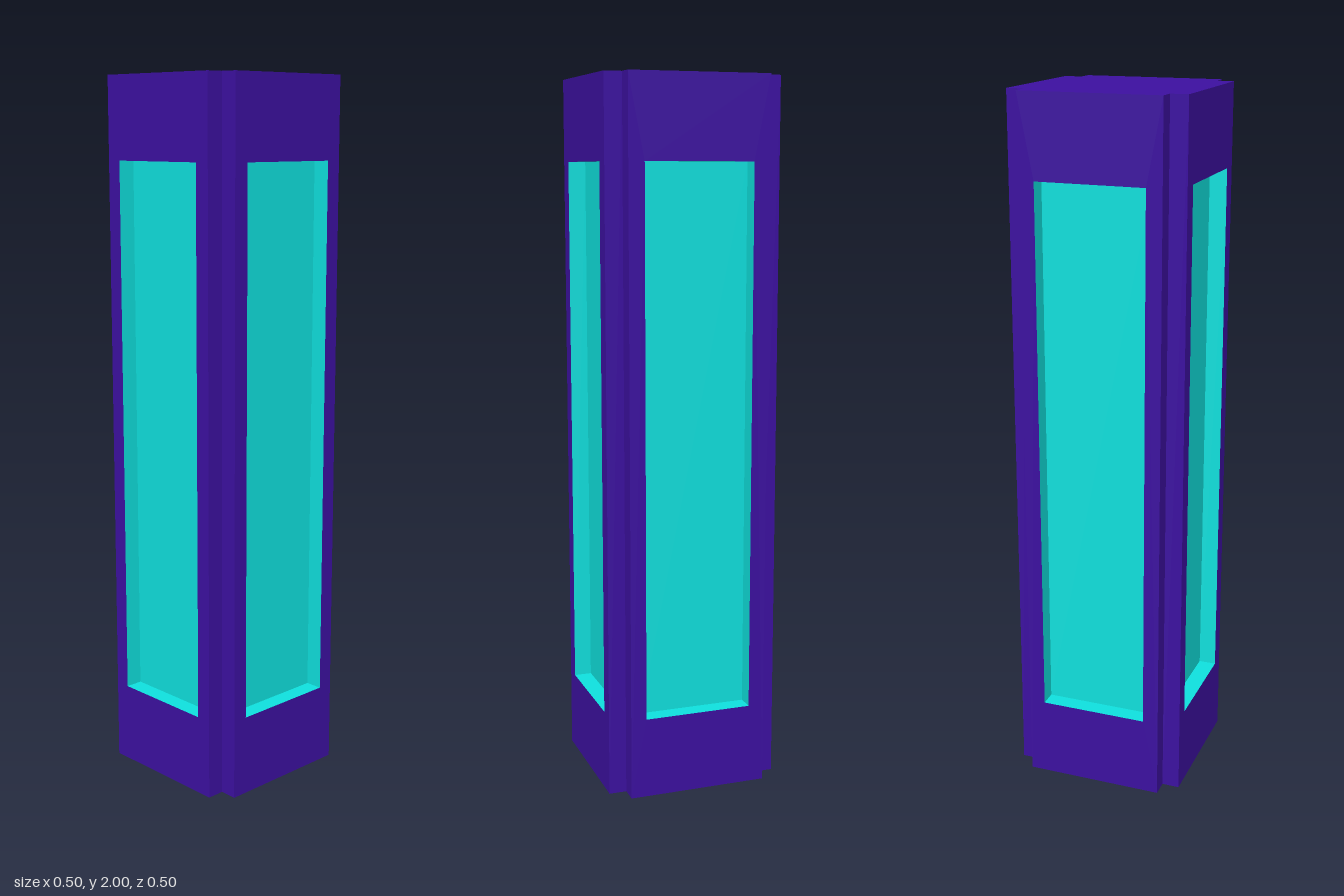
import * as THREE from 'three';
import { mergeGeometries } from 'three/addons/utils/BufferGeometryUtils.js';

const H = 2, OUT = 0.25, IN = 0.2;            // height, outer face, notch / recess floor
const W = 0.155, Y0 = 0.23, Y1 = 1.77;        // window half width, bottom and top
const DEPTH = OUT - IN, MID = (OUT + IN) / 2, YC = (Y0 + Y1) / 2;

// Flat rectangle, turned about x and y, then placed
function rect(w, h, rx, ry, x, y, z) {
  return new THREE.PlaneGeometry(w, h).rotateX(rx).rotateY(ry).translate(x, y, z);
}

export function createModel() {
  const model = new THREE.Group();
  const purple = new THREE.MeshStandardMaterial({ color: 0x3c10a0 });
  const cyan = new THREE.MeshStandardMaterial({ color: 0x0fe0dd });
  const Q = Math.PI / 2;

  // Face frame with a window opening, plus the two notch returns at its edges
  const outline = new THREE.Shape([[-IN, 0], [IN, 0], [IN, H], [-IN, H]]
    .map(([x, y]) => new THREE.Vector2(x, y)));
  outline.holes.push(new THREE.Path([[-W, Y0], [-W, Y1], [W, Y1], [W, Y0]]
    .map(([x, y]) => new THREE.Vector2(x, y))));
  const frameGeo = mergeGeometries([
    new THREE.ShapeGeometry(outline).translate(0, 0, OUT),
    rect(DEPTH, H, 0, Q, IN, H / 2, MID),
    rect(DEPTH, H, 0, -Q, -IN, H / 2, MID),
  ]);

  // Recessed panel: floor and four inward-facing reveals
  const panelGeo = mergeGeometries([
    rect(2 * W, Y1 - Y0, 0, 0, 0, YC, IN),
    rect(DEPTH, Y1 - Y0, 0, Q, -W, YC, MID),
    rect(DEPTH, Y1 - Y0, 0, -Q, W, YC, MID),
    rect(2 * W, DEPTH, -Q, 0, 0, Y0, MID),
    rect(2 * W, DEPTH, Q, 0, 0, Y1, MID),
  ]);

  ['front', 'left', 'back', 'right'].forEach((name, i) => {
    const side = new THREE.Group();
    side.name = name + 'Side';
    const frame = new THREE.Mesh(frameGeo, purple);
    frame.name = name + 'Frame';
    const panel = new THREE.Mesh(panelGeo, cyan);
    panel.name = name + 'Panel';
    side.add(frame, panel);
    side.rotation.y = i * Q;
    model.add(side);
  });

  // Top and bottom caps with notched corners
  const cross = new THREE.Shape([
    [IN, -OUT], [IN, -IN], [OUT, -IN], [OUT, IN], [IN, IN], [IN, OUT],
    [-IN, OUT], [-IN, IN], [-OUT, IN], [-OUT, -IN], [-IN, -IN], [-IN, -OUT],
  ].map(([x, y]) => new THREE.Vector2(x, y)));
  for (const [name, angle, y] of [['topCap', -Q, H], ['bottomCap', Q, 0]]) {
    const cap = new THREE.Mesh(new THREE.ShapeGeometry(cross).rotateX(angle), purple);
    cap.name = name;
    cap.position.y = y;
    model.add(cap);
  }
  return model;
}
